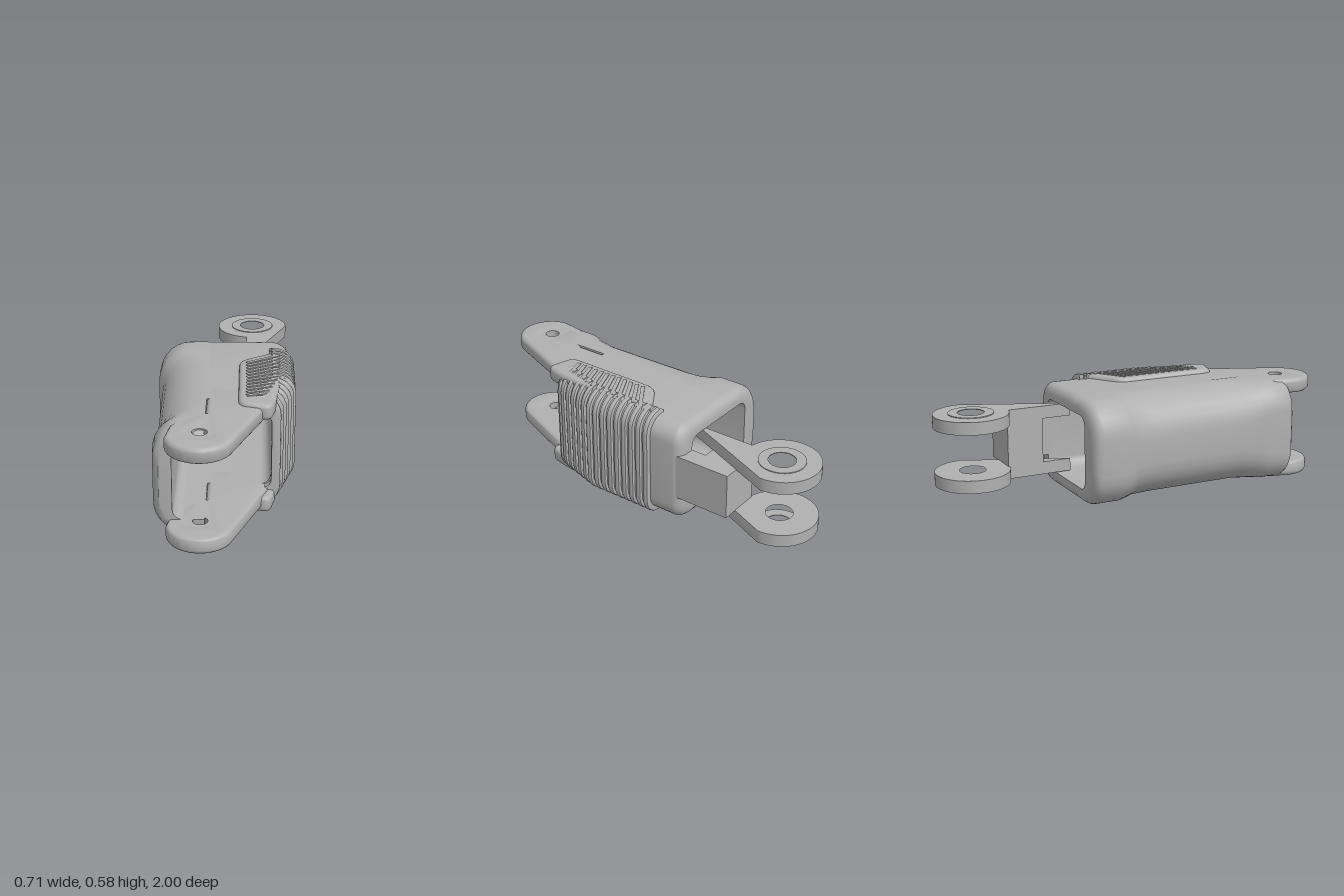
import * as THREE from 'three';
import { toCreasedNormals } from 'three/addons/utils/BufferGeometryUtils.js';

const YC = 0.29; // mid height of the housing

// C-shaped section opening at x = tip, with its wall on side s (-1 or +1)
function cSection({ s, tip, x, h, rx, ry, xi, hi, ri }) {
  const pts = [];
  const corner = (cx, cy, a, b, from, to) => {
    for (let i = 0; i <= 7; i++) {
      const t = from + (to - from) * i / 7;
      pts.push(new THREE.Vector2(s * (cx + a * Math.sin(t)), YC + cy * 1 + b * Math.cos(t)));
    }
  };
  const Q = Math.PI / 2;
  pts.push(new THREE.Vector2(tip, YC + h));
  corner(x - rx, h - ry, rx, ry, 0, Q);
  corner(x - rx, ry - h, rx, ry, Q, 2 * Q);
  pts.push(new THREE.Vector2(tip, YC - h), new THREE.Vector2(tip, YC - hi));
  corner(xi - ri, ri - hi, ri, ri, 2 * Q, Q);
  corner(xi - ri, hi - ri, ri, ri, Q, 0);
  pts.push(new THREE.Vector2(tip, YC + hi));
  return s > 0 ? pts.reverse() : pts;
}

// Skin over sections given as [z, points], with both ends closed
function loft(sections, crease = 0.6) {
  const pos = [];
  const add = (k, i) => pos.push(sections[k][1][i].x, sections[k][1][i].y, sections[k][0]);
  const n = sections[0][1].length, last = sections.length - 1;
  for (let k = 0; k < last; k++) {
    for (let i = 0; i < n; i++) {
      const j = (i + 1) % n;
      add(k, i); add(k, j); add(k + 1, j);
      add(k, i); add(k + 1, j); add(k + 1, i);
    }
  }
  for (const [a, b, c] of THREE.ShapeUtils.triangulateShape(sections[last][1].slice(), [])) {
    add(last, a); add(last, b); add(last, c);
  }
  for (const [a, b, c] of THREE.ShapeUtils.triangulateShape(sections[0][1].slice(), [])) {
    add(0, a); add(0, c); add(0, b);
  }
  const g = new THREE.BufferGeometry();
  g.setAttribute('position', new THREE.Float32BufferAttribute(pos, 3));
  return toCreasedNormals(g, crease);
}

// Horizontal plate from an (x, z) outline
function plate(shape, yTop, thick, b = 0) {
  const g = new THREE.ExtrudeGeometry(shape, {
    depth: thick - 2 * b, bevelEnabled: b > 0, bevelSize: b, bevelThickness: b,
    bevelOffset: -b, bevelSegments: 4, curveSegments: 20,
  });
  g.rotateX(Math.PI / 2).translate(0, yTop - b, 0);
  return toCreasedNormals(g, 0.6);
}

// Flat ring around a vertical axis
function ring(r0, r1, y0, y1) {
  const p = [[r0, y0], [r1, y0], [r1, y1], [r0, y1], [r0, y0]].map(([x, y]) => new THREE.Vector2(x, y));
  return toCreasedNormals(new THREE.LatheGeometry(p, 28).toNonIndexed(), 0.6);
}

function hole(shape, x, z, r) {
  shape.holes.push(new THREE.Path().absarc(x, z, r, 0, Math.PI * 2, true));
}

export function createModel() {
  const model = new THREE.Group();
  model.name = 'fingerLink';
  const grey = new THREE.MeshStandardMaterial({ color: 0xb0b0b0 });
  grey.name = 'grey';
  const put = (name, geo, parent = model) => {
    const m = new THREE.Mesh(geo, grey);
    m.name = name;
    parent.add(m);
    return m;
  };

  // Housing, outer wall side: collar, scooped grip, front edge [z, x, rx, ry, inset]
  const rim = [0, 1, 2, 3, 4].map(i => {
    const t = i / 4 * Math.PI / 2;
    return [-0.36 + 0.05 * (1 - Math.cos(t)), 0.05 * (1 - Math.sin(t))];
  });
  const wall = [
    ...rim.map(([z, d]) => [z, 0.355, 0.16, 0.175, d]),
    [-0.19, 0.355, 0.16, 0.175, 0], [-0.15, 0.347, 0.18, 0.185, 0],
    [-0.1, 0.334, 0.21, 0.2, 0], [0, 0.329, 0.22, 0.205, 0],
    [0.5, 0.317, 0.21, 0.2, 0], [0.6, 0.317, 0.17, 0.18, 0],
    [0.66, 0.327, 0.14, 0.16, 0], [0.77, 0.32, 0.13, 0.15, 0],
    [0.795, 0.32, 0.13, 0.15, 0.01], [0.81, 0.32, 0.13, 0.15, 0.03],
  ];
  put('housingWall', loft(wall.map(([z, x, rx, ry, d]) => [z, cSection({
    s: -1, tip: -0.08, x: x - d, h: 0.265 - d, rx, ry, xi: 0.23, hi: 0.1875, ri: 0.05,
  })])));

  // Housing, pad side
  const padSide = [
    ...rim.map(([z, d]) => [z, 0.33, d]), [0.2, 0.33, 0], [0.44, 0.26, 0],
  ];
  put('housingPadSide', loft(padSide.map(([z, x, d]) => [z, cSection({
    s: 1, tip: -0.08, x: x - d, h: 0.265 - d, rx: 0.09, ry: 0.09, xi: 0.23, hi: 0.1875, ri: 0.05,
  })])));

  // Ears with pivot holes
  const ear = new THREE.Shape();
  ear.moveTo(0.2, 0.3);
  ear.lineTo(0.215, 0.48);
  ear.absarc(-0.1, 0.84, 0.16, 0.4, Math.PI - 0.1, false);
  ear.lineTo(-0.24, 0.74);
  ear.quadraticCurveTo(-0.2, 0.66, -0.08, 0.6);
  ear.lineTo(-0.08, 0.3);
  hole(ear, -0.1, 0.82, 0.04);
  for (const top of [0.555, 0.1025]) {
    put('ear', plate(ear, top, 0.0775, 0.022));
    put('earBushing', ring(0.036, 0.066, top - 0.0775, top)).position.set(-0.1, 0, 0.82);
  }

  // Ribbed grip pad wrapped around the side
  const pad = new THREE.Group();
  pad.name = 'gripPad';
  model.add(pad);
  const padX = z => 0.354 - 0.3 * Math.max(0, z - 0.2);
  const padSection = (z, d) => {
    const x = padX(z) - d;
    return [z, cSection({
      s: 1, tip: x - 0.115, x, h: 0.289 - d * 0.5, rx: 0.1, ry: 0.1, xi: 0.232, hi: 0.19, ri: 0.04,
    })];
  };
  const ribs = 14, pitch = 0.045, z0 = -0.18;
  const sections = [];
  for (let i = 0; i < ribs; i++) {
    const z = z0 + i * pitch;
    for (const [f, d] of [[0, 0.016], [0.1, 0.003], [0.25, 0], [0.5, 0], [0.65, 0.003], [0.75, 0.016]]) {
      sections.push(padSection(z + f * pitch, d));
    }
  }
  sections.push(padSection(0.452, 0.003), padSection(0.462, 0.003), padSection(0.472, 0.012));
  put('padSide', loft(sections, 0.7), pad);

  // Pad flaps above and below, with slanting ribs
  const flap = new THREE.Shape();
  flap.moveTo(0.28, -0.15);
  flap.lineTo(0.11, -0.04);
  flap.quadraticCurveTo(0.07, -0.015, 0.07, 0.04);
  flap.lineTo(0.07, 0.47);
  flap.quadraticCurveTo(0.07, 0.53, 0.12, 0.54);
  flap.lineTo(0.19, 0.56);
  flap.quadraticCurveTo(0.225, 0.565, 0.235, 0.53);
  flap.lineTo(0.25, 0.46);
  flap.lineTo(0.28, 0.2);
  for (const side of [1, -1]) {
    put('padFlap', plate(flap, side > 0 ? 0.574 : 0.086, 0.08, 0.02), pad);
    for (let i = 2; i < ribs; i++) {
      const zr = z0 + (i + 0.37) * pitch, xr = padX(zr) - 0.085;
      const slant = 0.12 - 0.1 * i / ribs, dx = xr - 0.11;
      const rib = put('flapRib', new THREE.BoxGeometry(Math.hypot(dx, slant), 0.012, 0.02), pad);
      rib.position.set(0.11 + dx / 2, YC + side * 0.282, zr + slant / 2);
      rib.rotation.y = Math.atan2(slant, dx);
    }
  }

  // Rear fork: two eyed arms, a cross web and a side wall
  const fork = new THREE.Group();
  fork.name = 'rearFork';
  model.add(fork);
  const arm = new THREE.Shape();
  arm.moveTo(0.325, -0.29);
  arm.absarc(0.135, -0.81, 0.19, 0, -Math.PI * 2 + 1.73, true);
  arm.lineTo(0.105, -0.29);
  hole(arm, 0.135, -0.81, 0.067);
  for (const [top, boss] of [[0.47, 0.47], [0.176, 0.111]]) {
    put('forkArm', plate(arm, top, 0.065), fork);
    put('forkBoss', ring(0.067, 0.115, boss, boss + 0.004), fork).position.set(0.135, 0, -0.81);
  }
  put('forkWeb', new THREE.BoxGeometry(0.22, 0.236, 0.19), fork).position.set(0.215, YC, -0.535);
  put('forkSide', new THREE.BoxGeometry(0.095, 0.236, 0.15), fork).position.set(0.2775, YC, -0.365);

  return model;
}
